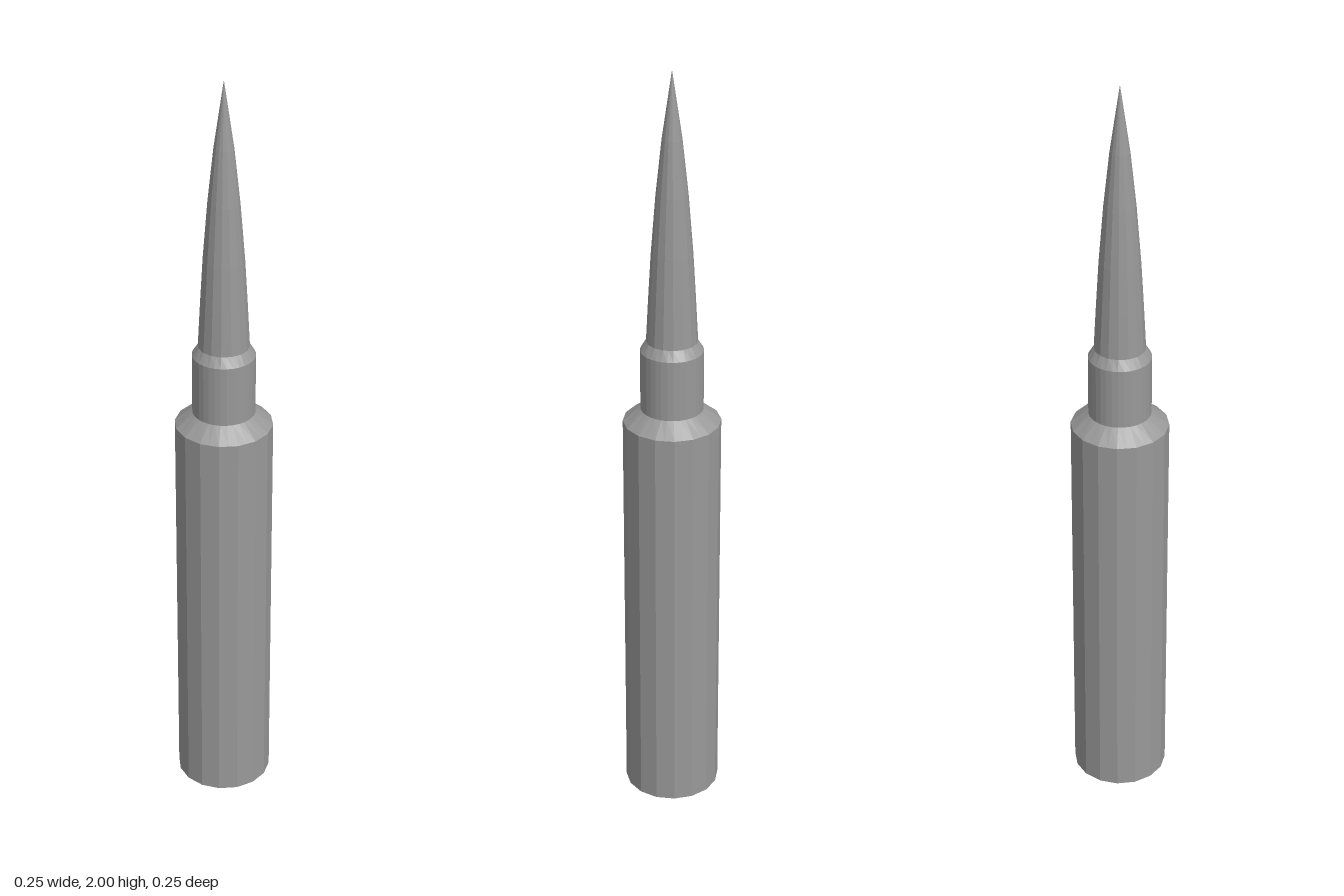
import * as THREE from 'three';

const FINE = 32;

// Revolved shell; rings flagged coarse are reduced to 16 sides by pulling
// every second vertex onto the chord between its neighbours.
function shell(name, rings, material) {
  const points = rings.map(([r, y]) => new THREE.Vector2(r, y));
  const geometry = new THREE.LatheGeometry(points, FINE);
  const pos = geometry.attributes.position;
  const chord = Math.cos(Math.PI * 2 / FINE);
  for (let i = 0; i < pos.count; i++) {
    const column = Math.floor(i / rings.length);
    const coarse = rings[i % rings.length][2];
    if (coarse && column % 2 === 1) {
      pos.setX(i, pos.getX(i) * chord);
      pos.setZ(i, pos.getZ(i) * chord);
    }
  }
  const flat = geometry.toNonIndexed();
  flat.computeVertexNormals();
  const mesh = new THREE.Mesh(flat, material);
  mesh.name = name;
  return mesh;
}

export function createModel() {
  const group = new THREE.Group();
  group.name = 'cartridge';
  const metal = new THREE.MeshStandardMaterial({ color: 0x999999, side: THREE.DoubleSide });
  metal.name = 'grey metal';

  // Each ring is [radius, height, coarse]
  group.add(
    // Sixteen-sided casing, open at the bottom
    shell('casing', [[0.125, 0, true], [0.125, 1.085, true]], metal),
    // Sloped shoulder up to the round neck
    shell('shoulder', [[0.125, 1.085, true], [0.08, 1.12, false]], metal),
    shell('neck', [[0.08, 1.12, false], [0.08, 1.28, false]], metal),
    // Small bevel closing the neck onto the tip
    shell('neckBevel', [[0.08, 1.28, false], [0.065, 1.305, true]], metal),
    // Long curved point
    shell('tip', [
      [0.065, 1.305, true], [0.059, 1.42, true], [0.052, 1.54, true],
      [0.04, 1.69, true], [0.025, 1.83, true], [0, 2, true],
    ], metal),
  );
  return group;
}
